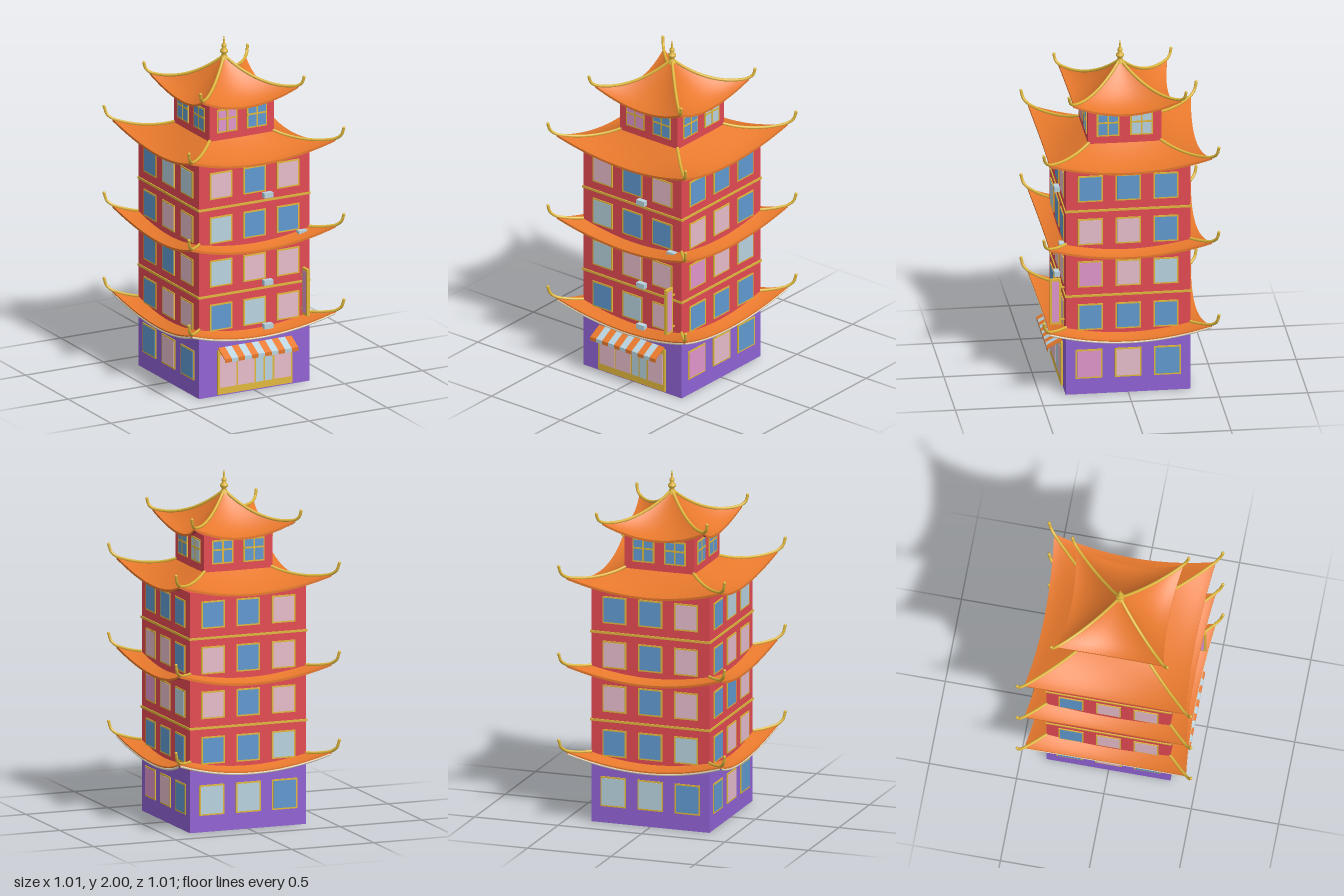
import * as THREE from 'three';

const mat = (name, color) => {
  const m = new THREE.MeshStandardMaterial({ color });
  m.name = name;
  return m;
};

export function createModel() {
  const red = mat('wall red', 0xe34a52);
  const purple = mat('ground floor purple', 0x9062d4);
  const orange = mat('roof orange', 0xea7a2d);
  const maroon = mat('soffit dark red', 0xc23f48);
  const gold = mat('gold', 0xe0b83c);
  const pink = mat('pale pink', 0xe6bccb);
  const magenta = mat('orchid pink', 0xe096cc);
  const blue = mat('blue', 0x6099d0);
  const pale = mat('pale blue', 0xb8d2de);
  const cream = mat('cream', 0xeee6cc);
  const glass = { b: blue, p: pink, m: magenta, l: pale };

  const model = new THREE.Group();
  model.name = 'pagodaTower';
  const add = (parent, name, geometry, material) => {
    const mesh = new THREE.Mesh(geometry, material);
    mesh.name = name;
    parent.add(mesh);
    return mesh;
  };
  const box = (parent, name, material, w, h, d, x, y, z) => {
    const mesh = add(parent, name, new THREE.BoxGeometry(w, h, d), material);
    mesh.position.set(x, y, z);
    return mesh;
  };
  const tube = (parent, name, points, radius, material) =>
    add(parent, name, new THREE.TubeGeometry(new THREE.CatmullRomCurve3(points), 28, radius, 8), material);

  // Smooth sheet from a rule f(u, v) giving a point
  const sheet = (f, nu, nv) => {
    const pos = [], index = [];
    for (let j = 0; j <= nv; j++)
      for (let i = 0; i <= nu; i++) pos.push(...f((i / nu) * 2 - 1, j / nv).toArray());
    for (let j = 0; j < nv; j++)
      for (let i = 0; i < nu; i++) {
        const a = j * (nu + 1) + i, b = a + nu + 1;
        index.push(a, b, a + 1, a + 1, b, b + 1);
      }
    const g = new THREE.BufferGeometry();
    g.setAttribute('position', new THREE.Float32BufferAttribute(pos, 3));
    g.setIndex(index);
    g.computeVertexNormals();
    return g;
  };

  // Walls
  const W = 0.354, TW = 0.208;
  box(model, 'groundFloor', purple, W * 2, 0.357, W * 2, 0, 0.1785, 0);
  box(model, 'middleFloors', red, W * 2, 1.021, W * 2, 0, 0.8675, 0);
  box(model, 'topFloor', red, TW * 2, 0.23, TW * 2, 0, 1.555, 0);
  for (const y of [0.597, 1.112]) box(model, 'goldBand', gold, 0.719, 0.013, 0.719, 0, y, 0);

  // Upswept four-sided roof: eave mid/corner radii, inner radius and rise
  function roof(name, { y, mid, corner, inner, rise, power, start, tip, tipRise, trim }) {
    const group = new THREE.Group();
    group.name = name;
    model.add(group);
    const lift = 0.082, thick = 0.013;
    const surface = (u, t, drop = 0) => {
      const v = start + (1 - start) * t;
      const c = inner + (corner - inner) * v;
      const m = inner + (mid - inner) * v;
      return new THREE.Vector3(c * u,
        y + thick + rise * (1 - v) ** power + lift * u * u * v ** 1.6 - drop,
        m + (c - m) * u * u);
    };
    const top = sheet((u, t) => surface(u, t), 20, 12);
    const under = sheet((u, t) => surface(-u, t, thick), 20, 12);
    const edge = sheet((u, t) => surface(u, 1, t * thick), 20, 1);
    for (let k = 0; k < 4; k++) {
      const side = new THREE.Group();
      side.name = 'roofSide';
      side.rotation.y = k * Math.PI / 2;
      group.add(side);
      add(side, 'tiles', top, orange);
      add(side, 'soffit', under, maroon);
      add(side, 'eaveEdge', edge, orange);
      // Hip ridge ending in a raised tip
      const path = [];
      for (let i = 0; i <= 6; i++) path.push(surface(1, i / 6, -0.003));
      const e = path[6];
      const bend = corner + (tip - corner) * 0.65;
      path.push(new THREE.Vector3(bend, e.y + tipRise * 0.38, bend));
      path.push(new THREE.Vector3(tip - 0.003, e.y + tipRise, tip - 0.003));
      tube(side, 'hipRidge', path, 0.0085, gold);
      const knob = add(side, 'ridgeTip', new THREE.SphereGeometry(0.009, 10, 8), gold);
      knob.position.copy(path[8]);
      // Pale strip hanging just under the eave
      if (trim) {
        const line = [];
        for (let i = 0; i <= 12; i++) line.push(surface(i / 6 - 1, 0.95, thick + 0.001));
        tube(side, 'eaveTrim', line, 0.0075, cream);
      }
    }
  }
  const skirt = { mid: 0.431, corner: 0.463, inner: 0.2, rise: 0.1, power: 1.5, tip: 0.5, tipRise: 0.066 };
  roof('lowerRoof', { ...skirt, y: 0.332, start: 0.58, trim: true });
  roof('middleRoof', { ...skirt, y: 0.837, start: 0.58 });
  roof('upperRoof', { ...skirt, y: 1.349, start: 0 });
  roof('crownRoof', { y: 1.643, mid: 0.276, corner: 0.308, inner: 0, rise: 0.22, power: 1.7,
    start: 0, tip: 0.335, tipRise: 0.052 });

  // Finial
  const profile = [[0.024, 1.858], [0.017, 1.88], [0.012, 1.888], [0.023, 1.9], [0.023, 1.91], [0.01, 1.923],
    [0.015, 1.934], [0.013, 1.944], [0.006, 1.952], [0.004, 1.98], [0, 2]];
  add(model, 'finial', new THREE.LatheGeometry(profile.map(p => new THREE.Vector2(...p)), 16), gold);

  // Windows: one row of glass codes per floor, seen left to right on each side
  const rowY = [0.183, 0.468, 0.728, 0.985, 1.246];
  const sides = [
    ['front', ['', 'blp', 'lpp', 'lbb', 'pbp'], 'mb'],
    ['right', ['mpb', 'bbb', 'mpl', 'ppb', 'bbb'], 'bl'],
    ['back', ['llb', 'bbl', 'pbp', 'pbp', 'bbp'], 'bb'],
    ['left', ['bpb', 'bpp', 'bbp', 'bpp', 'bll'], 'bb'],
  ];
  const windowAt = (parent, code, w, h, x, y, z) => {
    box(parent, 'windowFrame', gold, w, h, 0.006, x, y, z + 0.002);
    box(parent, 'windowPane', glass[code], w - 0.018, h - 0.018, 0.004, x, y, z + 0.0045);
  };
  sides.forEach(([name, rows, topRow], k) => {
    const wall = new THREE.Group();
    wall.name = name + 'Windows';
    wall.rotation.y = k * Math.PI / 2;
    model.add(wall);
    rows.forEach((row, r) => [...row].forEach((code, i) =>
      windowAt(wall, code, r ? 0.143 : 0.153, r ? 0.158 : 0.175, (i - 1) * (r ? 0.215 : 0.222), rowY[r], W)));
    [...topRow].forEach((code, i) => {
      const x = i ? 0.095 : -0.095;
      windowAt(wall, code, 0.13, 0.138, x, 1.57, TW);
      box(wall, 'mullion', gold, 0.01, 0.13, 0.004, x, 1.57, TW + 0.006);
      box(wall, 'glazingBar', gold, 0.12, 0.01, 0.004, x, 1.583, TW + 0.006);
    });
  });

  // Shop front: gold surround with five panes
  const shop = new THREE.Group();
  shop.name = 'shopFront';
  model.add(shop);
  box(shop, 'shopSurround', gold, 0.478, 0.26, 0.012, 0, 0.14, W + 0.006);
  for (const [x, w, m] of [[-0.175, 0.105, pink], [-0.059, 0.105, pink], [0.029, 0.048, pale],
    [0.086, 0.048, pale], [0.175, 0.105, pink]])
    box(shop, 'shopPane', m, w, 0.19, 0.003, x, 0.145, W + 0.012);

  // Striped awning with a short valance
  const n = 11, sw = 0.47 / n;
  for (let i = 0; i < n; i++) {
    const x = (i - (n - 1) / 2) * sw, m = i % 2 ? pale : orange;
    const slope = box(shop, 'awningStripe', m, sw, 0.006, 0.092, x, 0.262, 0.4);
    slope.rotation.x = Math.atan2(0.045, 0.08);
    box(shop, 'awningValance', m, sw, 0.022, 0.005, x, 0.231, 0.441);
  }

  // Air conditioner boxes
  for (const [x, y] of [[0.078, 1.147], [0.078, 0.631], [0.078, 0.372], [0.297, 0.89]])
    box(model, 'airConditioner', pale, 0.056, 0.03, 0.03, x, y, W + 0.016);

  // Hanging sign panel at the front left corner
  const sign = new THREE.Group();
  sign.name = 'hangingSign';
  sign.position.set(0.302, 0.55, 0.407);
  model.add(sign);
  box(sign, 'signFrame', gold, 0.017, 0.275, 0.062, 0, 0, 0);
  box(sign, 'signPanel', magenta, 0.02, 0.247, 0.04, 0, 0, 0);
  for (const y of [-0.11, 0.085]) box(sign, 'signBracket', gold, 0.008, 0.008, 0.03, 0, y, -0.04);

  return model;
}
